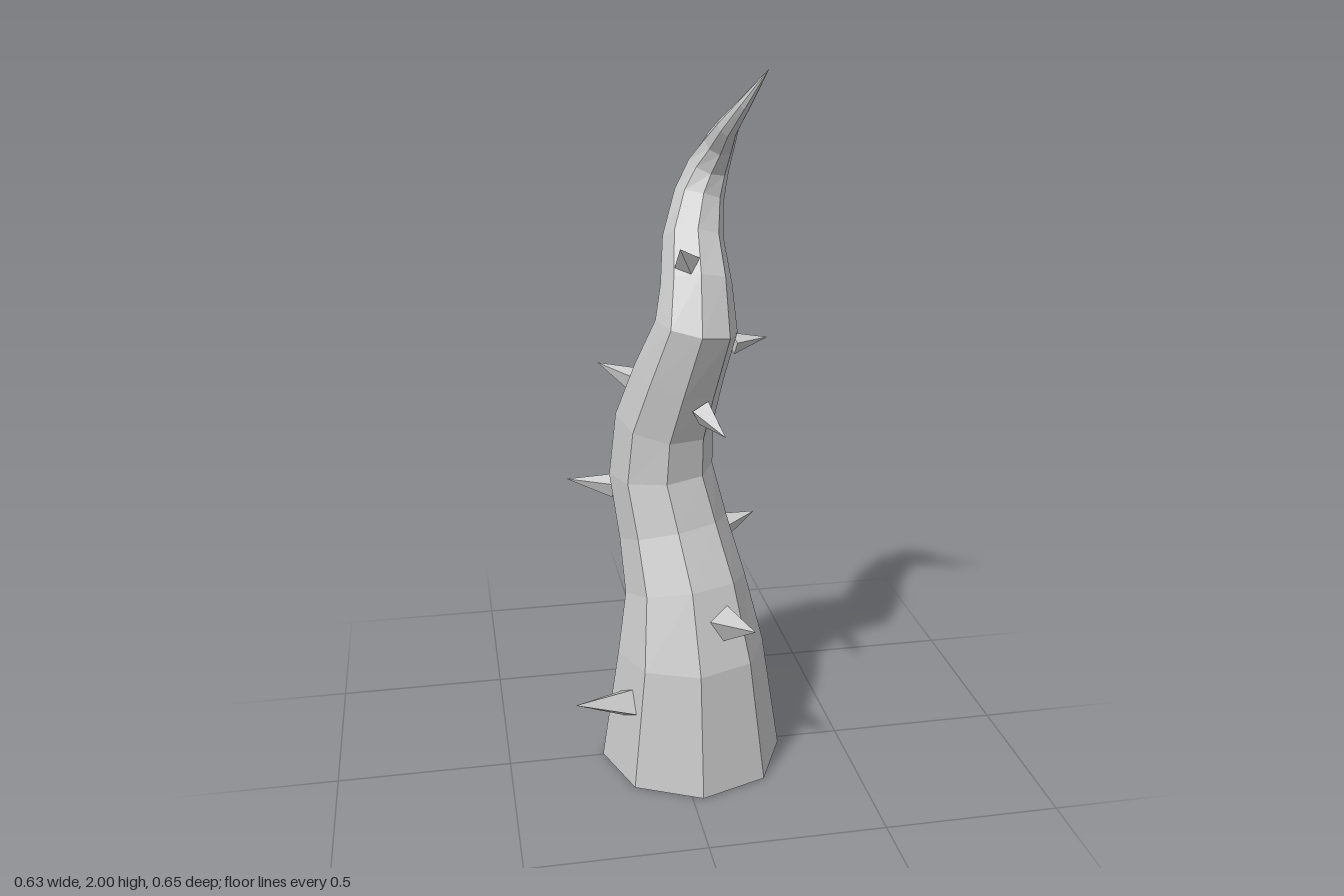
import * as THREE from 'three';

const SIDES = 8;
const UP = new THREE.Vector3(0, 1, 0);

// Stem rings: centre x, y, z and radius
const RINGS = [
  [0.045, 0, 0.01, 0.267], [0.04, 0.36, 0.025, 0.213], [0.03, 0.545, -0.01, 0.176],
  [0.005, 0.7, -0.07, 0.159], [-0.025, 0.87, -0.104, 0.15], [-0.017, 1.03, -0.085, 0.141],
  [0.015, 1.18, -0.03, 0.128], [0.052, 1.325, 0.026, 0.114], [0.06, 1.43, -0.02, 0.098],
  [0.065, 1.54, -0.092, 0.085], [0.09, 1.65, -0.137, 0.07], [0.115, 1.73, -0.133, 0.058],
  [0.135, 1.795, -0.09, 0.043], [0.143, 1.845, -0.025, 0.03], [0.17, 1.91, 0.045, 0.018],
  [0.212, 2, 0.118, 0.001],
];

// Thorns: base centre, tip, base radius
const THORNS = [
  [[-0.15, 0.23, 0.1], [-0.315, 0.265, 0.148], 0.052],
  [[0.17, 0.225, -0.17], [0.24, 0.265, -0.33], 0.052],
  [[0.11, 0.49, 0.155], [0.16, 0.545, 0.325], 0.052],
  [[0.165, 0.675, -0.11], [0.265, 0.695, -0.15], 0.036],
  [[-0.15, 0.795, -0.18], [-0.285, 0.8, -0.245], 0.036],
  [[0.06, 0.94, -0.215], [0.105, 0.96, -0.32], 0.038],
  [[0.065, 1.09, 0.065], [0.1, 1.06, 0.19], 0.036],
  [[-0.1, 1.15, -0.075], [-0.2, 1.19, -0.13], 0.036],
  [[0.165, 1.255, -0.03], [0.27, 1.26, -0.06], 0.03],
  [[0.025, 1.5, 0.03], [-0.005, 1.55, 0.087], 0.036],
  [[0.145, 1.66, -0.18], [0.185, 1.665, -0.255], 0.024],
];

// Octagonal tube, open at the bottom, with each ring square to the bend
function stemGeometry() {
  const centres = RINGS.map(([x, y, z]) => new THREE.Vector3(x, y, z));
  const positions = [];
  const index = [];
  const turn = new THREE.Quaternion();
  RINGS.forEach((ring, i) => {
    const last = RINGS.length - 1;
    const dir = i === 0 ? UP.clone()
      : centres[Math.min(i + 1, last)].clone().sub(centres[i - 1]).normalize();
    turn.setFromUnitVectors(UP, dir);
    for (let j = 0; j < SIDES; j++) {
      const a = 0.055 + (j / SIDES) * Math.PI * 2;
      const p = new THREE.Vector3(Math.cos(a), 0, Math.sin(a))
        .multiplyScalar(ring[3]).applyQuaternion(turn).add(centres[i]);
      positions.push(p.x, p.y, p.z);
      if (i < last) {
        const k = (j + 1) % SIDES;
        const a0 = i * SIDES + j, b0 = i * SIDES + k;
        index.push(a0, a0 + SIDES, b0, b0, a0 + SIDES, b0 + SIDES);
      }
    }
  });
  const geo = new THREE.BufferGeometry();
  geo.setAttribute('position', new THREE.Float32BufferAttribute(positions, 3));
  geo.setIndex(index);
  geo.computeVertexNormals();
  return geo;
}

// Four-sided spike from base to tip
function makeThorn([base, tip, radius], material) {
  const from = new THREE.Vector3(...base);
  const axis = new THREE.Vector3(...tip).sub(from);
  const length = axis.length();
  const geo = new THREE.ConeGeometry(radius, length, 4).translate(0, length / 2, 0);
  const thorn = new THREE.Mesh(geo, material);
  thorn.position.copy(from);
  thorn.quaternion.setFromUnitVectors(UP, axis.normalize());
  thorn.name = 'thorn';
  return thorn;
}

export function createModel() {
  const group = new THREE.Group();
  group.name = 'thornyVine';
  const material = new THREE.MeshStandardMaterial({
    color: 0xcccccc, flatShading: true, side: THREE.DoubleSide,
  });

  const stem = new THREE.Mesh(stemGeometry(), material);
  stem.name = 'stem';
  group.add(stem);

  const thorns = new THREE.Group();
  thorns.name = 'thorns';
  THORNS.forEach((t) => thorns.add(makeThorn(t, material)));
  group.add(thorns);
  return group;
}
